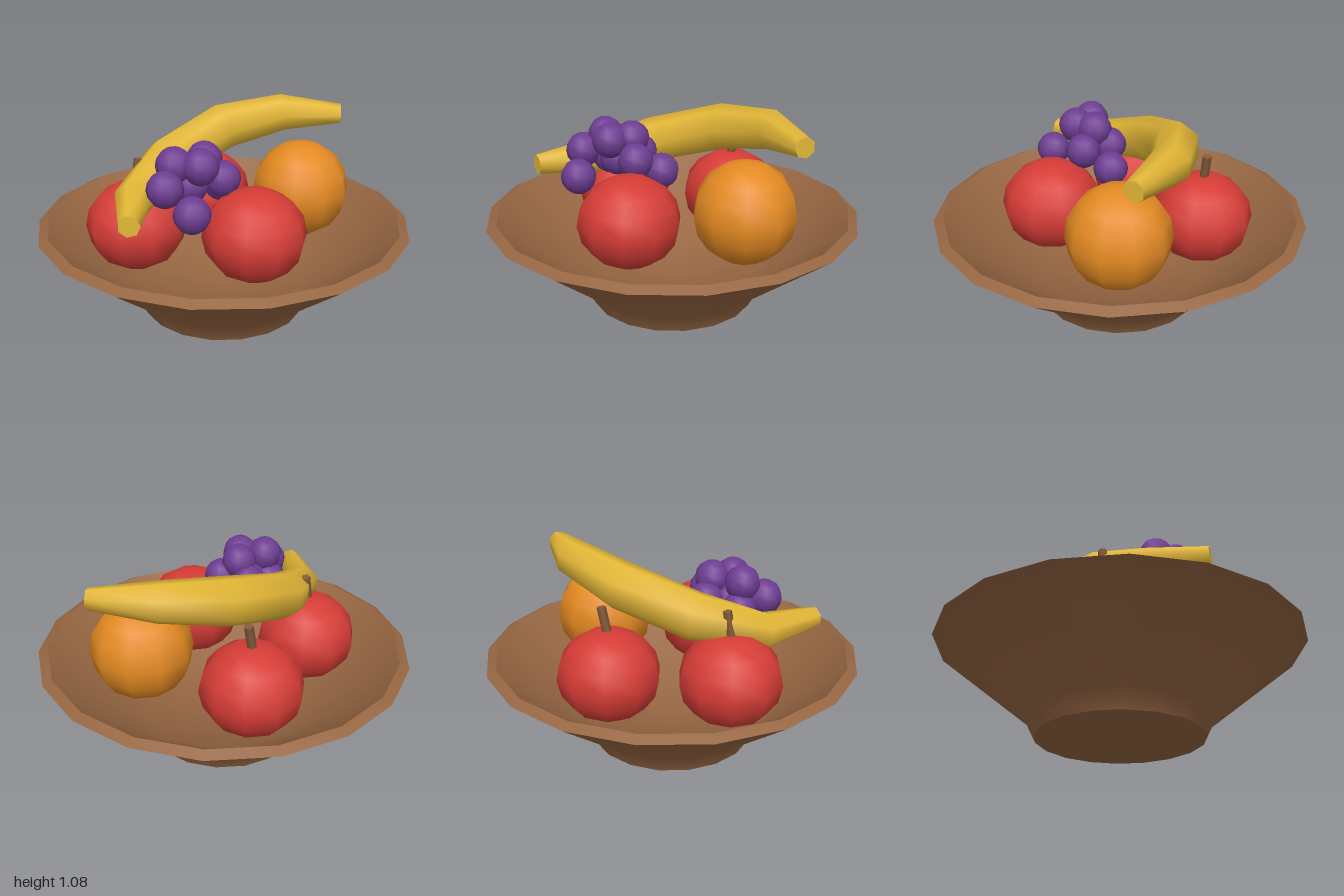
import * as THREE from 'three';
import { toCreasedNormals } from 'three/addons/utils/BufferGeometryUtils.js';

const mat = (name, color) => {
  const m = new THREE.MeshStandardMaterial({ color });
  m.name = name;
  return m;
};

// Closed, tapering tube: stations are [x, y, z, radius]
function taperedTube(stations, sides) {
  const pts = stations.map(s => new THREE.Vector3(s[0], s[1], s[2]));
  const up = new THREE.Vector3(0, 1, 0);
  const pos = [], index = [];
  const last = pts.length - 1;
  pts.forEach((p, i) => {
    const before = pts[Math.max(i - 1, 0)], after = pts[Math.min(i + 1, last)];
    const t = after.clone().sub(before).normalize();
    const side = t.clone().cross(up).normalize();
    const top = side.clone().cross(t);
    for (let j = 0; j < sides; j++) {
      const a = (j / sides) * Math.PI * 2;
      const v = p.clone()
        .addScaledVector(side, Math.cos(a) * stations[i][3])
        .addScaledVector(top, Math.sin(a) * stations[i][3]);
      pos.push(v.x, v.y, v.z);
    }
  });
  const start = pos.length / 3, end = start + 1;
  pos.push(...pts[0].toArray(), ...pts[last].toArray());
  for (let j = 0; j < sides; j++) {
    const k = (j + 1) % sides;
    for (let i = 0; i < last; i++) {
      const a = i * sides + j, c = i * sides + k;
      index.push(a, a + sides, c, a + sides, c + sides, c);
    }
    index.push(start, j, k, end, last * sides + k, last * sides + j);
  }
  const g = new THREE.BufferGeometry();
  g.setAttribute('position', new THREE.Float32BufferAttribute(pos, 3));
  g.setIndex(index);
  return toCreasedNormals(g, 1.1);
}

export function createModel() {
  const wood = mat('wood', 0x966642);
  const red = mat('apple red', 0xd63c36);
  const orange = mat('orange peel', 0xe48a22);
  const yellow = mat('banana yellow', 0xe2b636);
  const purple = mat('grape purple', 0x6e3d92);
  const brown = mat('stem brown', 0x865c3c);

  const model = new THREE.Group();
  model.name = 'fruitBowl';
  const add = (name, geometry, material, x = 0, y = 0, z = 0, parent = model) => {
    const m = new THREE.Mesh(geometry, material);
    m.name = name;
    m.position.set(x, y, z);
    parent.add(m);
    return m;
  };

  // Bowl: foot, flared wall, bevelled rim and hollow inside
  const profile = [
    [0, 0], [0.45, 0], [0.5, 0.1], [1, 0.5], [0.95, 0.525], [0.45, 0.13], [0, 0.08],
  ].map(p => new THREE.Vector2(...p));
  const bowl = new THREE.LatheGeometry(profile, 18, Math.PI / 2);
  add('bowl', toCreasedNormals(bowl, 0.7), wood);

  // Apples, slightly squashed; the two at the back have a leaning stem
  const ball = new THREE.SphereGeometry(0.27, 10, 8);
  const stem = new THREE.CylinderGeometry(0.025, 0.025, 0.2, 5);
  [
    [-0.1, 0.55, 0.35, false],
    [0.2, 0.5, -0.4, true],
    [-0.4, 0.5, -0.25, true],
  ].forEach(([x, y, z, hasStem]) => {
    const apple = new THREE.Group();
    apple.name = 'apple';
    apple.position.set(x, y, z);
    model.add(apple);
    add('appleBody', ball, red, 0, 0, 0, apple).scale.y = 0.9;
    if (hasStem) add('appleStem', stem, brown, 0.01, 0.265, 0, apple).rotation.z = -0.2;
  });

  add('orange', ball, orange, 0.45, 0.605, 0.145);

  // Banana lying across the fruit
  add('banana', taperedTube([
    [-0.735, 0.72, 0.17, 0.055],
    [-0.53, 0.715, -0.09, 0.1],
    [-0.2, 0.81, -0.235, 0.128],
    [0.2, 0.925, -0.235, 0.128],
    [0.52, 0.98, -0.08, 0.105],
    [0.74, 0.985, 0.17, 0.055],
  ], 7), yellow);

  // Grape bunch
  const grapes = new THREE.Group();
  grapes.name = 'grapes';
  model.add(grapes);
  const grape = new THREE.SphereGeometry(0.094, 10, 8);
  [
    [-0.475, 0.82, 0.11], [-0.37, 0.905, 0.05], [-0.43, 0.72, 0.26],
    [-0.29, 0.905, 0.16], [-0.2, 0.905, 0.08], [-0.145, 0.81, 0.16],
    [-0.19, 0.81, 0], [-0.05, 0.73, 0.035], [-0.365, 0.77, 0.01],
    [-0.29, 0.79, 0.08],
  ].forEach(p => add('grape', grape, purple, ...p, grapes));

  return model;
}
